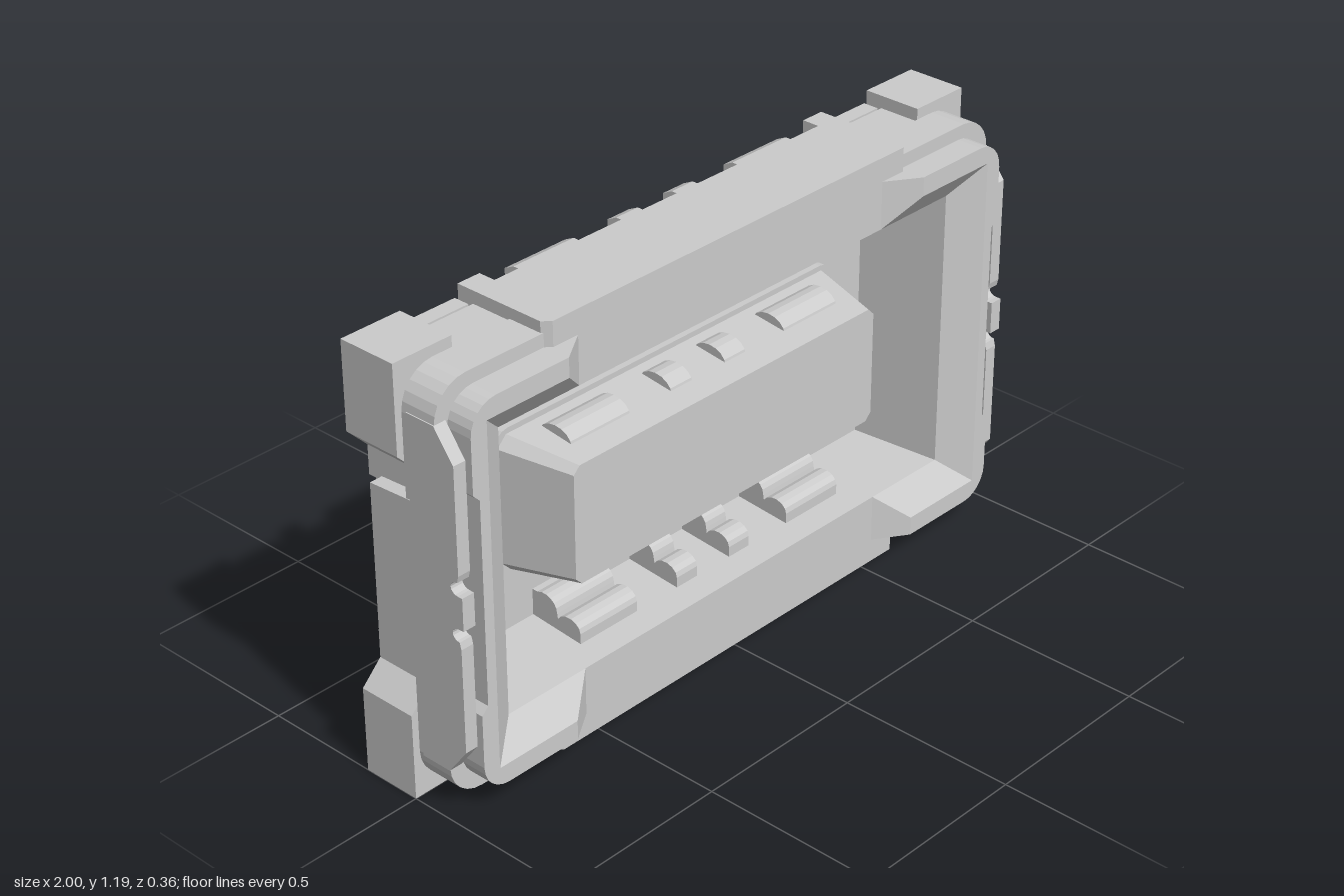
import * as THREE from 'three';

const material = new THREE.MeshStandardMaterial({ color: 0xcccccc, flatShading: true, side: THREE.DoubleSide });
const v2 = (pts) => pts.map(([x, y]) => new THREE.Vector2(x, y));

// Rectangle given by its half sizes
const rect = (w, h) => [[-w, -h], [w, -h], [w, h], [-w, h]];

// Rounded rectangle, n segments in each corner
function roundRect(w, h, r, n = 6) {
  const pts = [];
  [[1, -1], [1, 1], [-1, 1], [-1, -1]].forEach(([sx, sy], k) => {
    for (let i = 0; i <= n; i++) {
      const a = (k - 1 + i / n) * Math.PI / 2;
      pts.push([sx * (w - r) + r * Math.cos(a), sy * (h - r) + r * Math.sin(a)]);
    }
  });
  return pts;
}

// Closed outline from its upper right quarter (listed from the x axis to the y axis)
function fourfold(q) {
  const back = q.slice().reverse();
  return [...q, ...back.map(([x, y]) => [-x, y]), ...q.map(([x, y]) => [-x, -y]), ...back.map(([x, y]) => [x, -y])];
}

// Straight plate between two depths, with an optional hole
function slab(outline, z0, z1, hole) {
  const shape = new THREE.Shape(v2(outline));
  if (hole) shape.holes.push(new THREE.Path(v2(hole)));
  return new THREE.ExtrudeGeometry(shape, { depth: z1 - z0, bevelEnabled: false }).translate(0, 0, z0);
}

// Solid (or open band) between two outlines with matching points
function loft(a, za, b, zb, caps = true) {
  const n = a.length, pos = [], idx = [];
  a.forEach(([x, y]) => pos.push(x, y, za));
  b.forEach(([x, y]) => pos.push(x, y, zb));
  for (let i = 0; i < n; i++) {
    const j = (i + 1) % n;
    idx.push(i, j, n + j, i, n + j, n + i);
  }
  if (caps) {
    for (const [p, q, r] of THREE.ShapeUtils.triangulateShape(v2(a), [])) idx.push(p, r, q);
    for (const [p, q, r] of THREE.ShapeUtils.triangulateShape(v2(b), [])) idx.push(n + p, n + q, n + r);
  }
  const g = new THREE.BufferGeometry();
  g.setAttribute('position', new THREE.Float32BufferAttribute(pos, 3));
  g.setIndex(idx);
  const flat = g.toNonIndexed();
  flat.computeVertexNormals();
  return flat;
}

// A [z, y] profile swept along x
function prism(profile, x0, x1) {
  return new THREE.ExtrudeGeometry(new THREE.Shape(v2(profile)), { depth: x1 - x0, bevelEnabled: false })
    .rotateY(-Math.PI / 2).translate(x1, 0, 0);
}

// Points of an arc, angles in degrees
function arc(cx, cy, rx, ry, from, to, n = 8) {
  return Array.from({ length: n + 1 }, (_, i) => {
    const a = (from + (to - from) * i / n) * Math.PI / 180;
    return [cx + rx * Math.cos(a), cy + ry * Math.sin(a)];
  });
}

// C-shaped end of the front frame: tip position and inner opening vary with depth
function endOutline(tip, ix, iy) {
  const upper = [[0.92, 0.28], [0.94, 0.3], ...arc(0.86, 0.448, 0.08, 0.08, 0, 90, 6),
    [tip, 0.528], [tip, iy], [ix, iy]];
  const lower = upper.slice().reverse().map(([x, y]) => [x, -y]);
  return [...upper, ...lower];
}

export function createModel() {
  const model = new THREE.Group();
  model.name = 'tray';
  const body = new THREE.Group();
  body.name = 'trayBody';
  body.position.y = 0.605;
  model.add(body);

  const add = (name, geometry, turn = 0) => {
    const mesh = new THREE.Mesh(geometry, material);
    mesh.name = name;
    mesh.rotation.z = turn;
    body.add(mesh);
  };
  // The part and its copy turned half way round the depth axis
  const pair = (name, geometry) => [0, Math.PI].forEach((t) => add(name, geometry, t));

  const opening = rect(0.8, 0.395);
  const side = [[0.92, 0.215], [0.94, 0.215], [0.94, 0.295], [1, 0.355], [1, 0.595], [0.82, 0.595]];

  // Back plate with clip recesses along both long edges
  add('backPlate', slab(fourfold([...side, [0.82, 0.54], [0.64, 0.54], [0.64, 0.595],
    [0.57, 0.595], [0.57, 0.375]]), -0.17, -0.12));

  // Body layer with the square corner blocks
  add('cornerBody', slab(fourfold([...side, [0.82, 0.56]]), -0.12, 0, opening));

  // Rounded rim, cut back behind the side fins
  const rimQuarter = [[0.92, 0.225], [0.98, 0.225], ...arc(0.88, 0.465, 0.1, 0.1, 0, 90, 6)];
  add('middleRim', slab(fourfold(rimQuarter), 0, 0.105, opening));

  // Sloped inner walls of the cavity
  add('cavityWalls', loft(rect(0.75, 0.375), -0.12, opening, 0.12, false));

  // Long walls with narrowed front corners
  pair('longWall', slab([[-0.64, 0.395], [0.64, 0.395], [0.64, 0.595], [-0.64, 0.595]], -0.12, 0.1));
  pair('longWallFront', loft([[-0.64, 0.395], [0.64, 0.395], [0.64, 0.595], [-0.64, 0.595]], 0.1,
    [[-0.62, 0.395], [0.62, 0.395], [0.62, 0.595], [-0.62, 0.595]], 0.12));

  // End frames with funnel-shaped corners
  const low = endOutline(0.54, 0.8, 0.395);
  pair('endFrameBase', slab(low, 0.1, 0.12));
  pair('endFrameFunnel', loft(low, 0.12, endOutline(0.63, 0.89, 0.475), 0.18));

  // Thin side fins with a small central tongue between two round notches
  const finHalf = [[0.175, 0.045], ...arc(0.16, 0.063, 0.022, 0.018, 270, 90, 8), [0.165, 0.1],
    [0.165, 0.39], [0.105, 0.47], [0.015, 0.47], [0.015, 0.24], [-0.12, 0.232]];
  const fin = [...finHalf, ...finHalf.slice().reverse().map(([z, y]) => [z, -y])];
  pair('sideFin', prism(fin, 0.945, 0.982));

  // Raised block in the middle of the floor
  add('blockFlange', slab(roundRect(0.61, 0.205, 0.045, 4), -0.12, -0.1));
  add('centreBlock', loft(roundRect(0.6, 0.19, 0.03, 1), -0.1, roundRect(0.545, 0.165, 0.02, 1), 0.1));

  // Clips repeated along the recess, the cavity wall and the block
  const backClip = [[-0.11, 0.42], ...arc(-0.12, 0.54, 0.06, 0.12, 270, 180, 8), [-0.18, 0.57], [-0.15, 0.585], [-0.11, 0.585]];
  const wallClip = [[-0.12, 0.39], [-0.12, 0.3], ...arc(-0.08, 0.335, 0.045, 0.04, 240, 360, 6),
    ...arc(0.005, 0.36, 0.04, 0.03, 200, 360, 6), [0.045, 0.39]];
  const blockClip = arc(-0.025, 0.165, 0.055, 0.04, 0, 180, 8);
  for (const [x0, x1] of [[-0.48, -0.28], [-0.135, -0.06], [0.06, 0.135], [0.28, 0.48]]) {
    pair('backClip', prism(backClip, x0, x1));
    pair('wallClip', prism(wallClip, x0, x1));
    pair('blockClip', prism(blockClip, x0, x1));
  }

  // Small latch tabs beside the corner blocks
  const tab = [[-0.12, 0.49], [-0.17, 0.49], [-0.18, 0.51], [-0.18, 0.55], [-0.165, 0.565], [-0.12, 0.565]];
  for (const s of [-1, 1]) pair('latchTab', prism(tab, s * 0.73 - 0.075, s * 0.73 + 0.075));

  return model;
}
